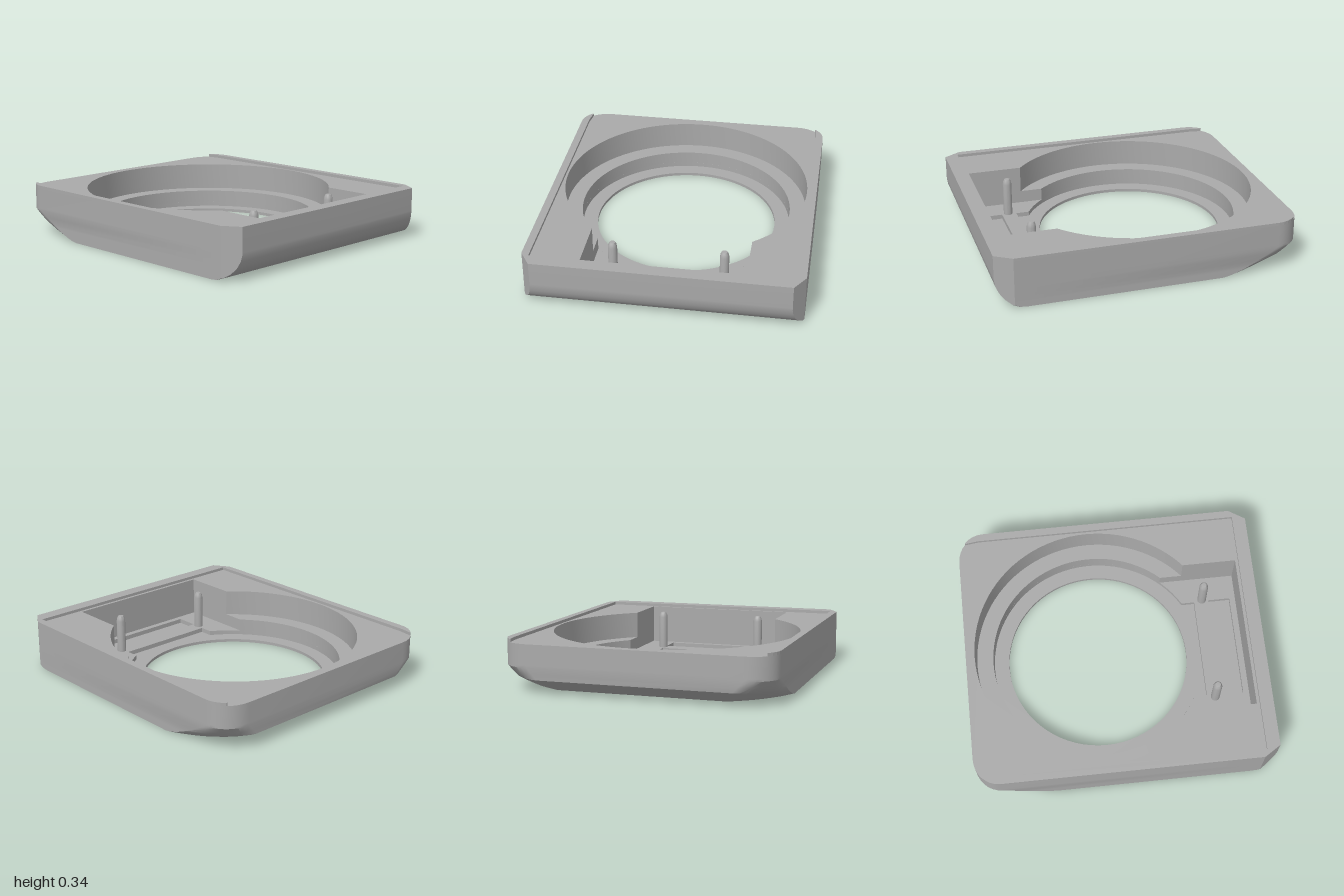
import * as THREE from 'three';
import { toCreasedNormals } from 'three/addons/utils/BufferGeometryUtils.js';

const { PI, acos, cos, sin, sqrt, min } = Math;
const lerp = THREE.MathUtils.lerp;
const HALF_W = 0.89, DECK = 0.315, TOP = 0.335;
const LEDGE = 0.135, POCKET = 0.05, LIP = 0.02;
const CZ = -0.115, R_HOLE = 0.615, R_IN = 0.715, R_OUT = 0.825;
const N = 8;

// Points [x, z] along a circle around the opening
function arc(r, t0, t1, n = 72) {
  return Array.from({ length: n + 1 }, (_, i) => {
    const t = lerp(t0, t1, i / n);
    return [r * cos(t), CZ + r * sin(t)];
  });
}

const mirror = pts => pts.map(([x, z]) => [-x, z]).reverse();

// Right half of the outside outline at height y, from front to back
function halfOutline(y) {
  const zf = y < 0.18 ? 0.82 + sqrt(0.18 ** 2 - (0.18 - y) ** 2) : 1;
  const steps = [[0, -0.82], [0.005, -0.85], [0.02, -0.89], [0.09, -1], [1, -1]];
  const k = steps.findIndex(s => s[0] > y);
  const [y0, z0] = steps[k - 1], [y1, z1] = steps[k];
  const zb = lerp(z0, z1, (y - y0) / (y1 - y0));
  const s = min(y / 0.165, 1);
  const zc = lerp(-0.46, -0.83, s ** 0.7), xc = lerp(0.55, 0.70, s);
  const bulge = lerp(0.4, 1, s);
  const pts = [
    [min(HALF_W, HALF_W - (zf - 0.89) * 0.64), zf],
    [HALF_W, min(zf, 0.89)],
  ];
  for (let i = 0; i <= N; i++) {
    const f = i / N, u = f * PI / 2;
    pts.push([
      lerp(lerp(HALF_W, xc, f), xc + (HALF_W - xc) * cos(u), bulge),
      lerp(lerp(zc, zb, f), zc + (zb - zc) * sin(u), bulge),
    ]);
  }
  return pts;
}
const outline = y => [...halfOutline(y), ...mirror(halfOutline(y))];

// Flat face at height y, facing up (or down), with optional holes
function flat(pts, y, holes = [], up = true) {
  const d = up ? -1 : 1;
  const vec = list => list.map(([x, z]) => new THREE.Vector2(x, d * z));
  const shape = new THREE.Shape(vec(pts));
  shape.holes = holes.map(h => new THREE.Path(vec(h)));
  return new THREE.ShapeGeometry(shape).rotateX(d * PI / 2).translate(0, y, 0);
}

// Skin between stacked rings of [x, y, z] points
function skin(rings, closed, inward) {
  const n = rings[0].length, index = [];
  for (let k = 0; k < rings.length - 1; k++) {
    for (let i = 0; i < (closed ? n : n - 1); i++) {
      const a = k * n + i, b = k * n + (i + 1) % n, c = b + n, d = a + n;
      if (inward) index.push(a, c, b, a, d, c);
      else index.push(a, b, c, a, c, d);
    }
  }
  const g = new THREE.BufferGeometry();
  g.setAttribute('position', new THREE.Float32BufferAttribute(rings.flat(2), 3));
  g.setIndex(index);
  return toCreasedNormals(g, 0.5);
}
const ring = (pts, y) => pts.map(([x, z]) => [x, y, z]);
const wall = (pts, y0, y1, closed = false) =>
  skin([ring(pts, y0), ring(pts, y1)], closed, true);

export function createModel() {
  const group = new THREE.Group();
  const grey = new THREE.MeshStandardMaterial({ color: 0xaaaaaa, side: THREE.DoubleSide });
  grey.name = 'plain grey';
  const add = (name, geometry) => {
    const mesh = new THREE.Mesh(geometry, grey);
    mesh.name = name;
    group.add(mesh);
    return mesh;
  };

  // Contours of the stepped opening and the front pocket
  const tO = acos(0.52 / R_OUT), tI = acos(0.52 / R_IN), tN = acos(0.345 / R_IN);
  const outer = arc(R_OUT, tO, -PI - tO);
  const inner = arc(R_IN, tI, -PI - tI);
  const lipArc = arc(R_IN, tN, -PI - tN);
  const hole = arc(R_HOLE, 0, -2 * PI).slice(0, -1);
  const pocketFront = [[-0.52, 0.89], [0.52, 0.89]];
  const notch = [[-0.345, 0.6], [0.345, 0.6]];
  const slot = [[0.35, 0.85], [0.35, 0.7], [-0.35, 0.7], [-0.35, 0.85]];

  // Outer shell
  const levels = [0, 0.005, 0.02, 0.045, 0.07, 0.09, 0.125, 0.165, 0.18, DECK];
  add('outerShell', skin(levels.map(y => ring(outline(y), y)), true, false));
  add('underside', flat(outline(0), 0, [hole], false));
  add('deck', flat(outline(DECK), DECK, [[...outer, ...pocketFront]]));

  // Raised rim around the front and sides
  const rimHalf = halfOutline(DECK).slice(0, 3 + N / 2).reverse();
  const rimInner = [[-0.828, -0.95], [-0.84, -0.86], [-0.84, 0.91]];
  const rimPts = [...rimHalf, ...mirror(rimHalf), ...rimInner, ...mirror(rimInner)];
  const rimShape = new THREE.Shape(rimPts.map(p => new THREE.Vector2(...p)));
  add('rim', new THREE.ExtrudeGeometry(rimShape, { depth: TOP - DECK, bevelEnabled: false })
    .rotateX(PI / 2).translate(0, TOP, 0));

  // Stepped round opening
  add('upperRingWall', wall(outer, LEDGE, DECK));
  add('upperLedge', flat([...outer, ...[...inner].reverse()], LEDGE));
  add('lowerRingWall', wall(inner, POCKET, LEDGE));
  add('lowerLipWall', wall([...lipArc, ...notch], LIP, POCKET, true));
  add('lowerLip', flat([...lipArc, ...notch], LIP, [hole]));
  add('openingEdge', wall(hole, 0, LIP, true));

  // Front pocket with a shallow slot
  add('pocketWall', wall([outer.at(-1), ...pocketFront, outer[0]], POCKET, DECK));
  add('pocketLeftStep', wall([outer[0], inner[0]], POCKET, LEDGE));
  add('pocketRightStep', wall([inner.at(-1), outer.at(-1)], POCKET, LEDGE));
  const pocketPts = [
    ...arc(R_IN, tI, tN, 6), ...mirror(notch).reverse(),
    ...arc(R_IN, PI - tN, PI - tI, 6), ...pocketFront,
  ];
  add('pocketFloor', flat(pocketPts, POCKET, [slot]));
  add('slotWall', wall(slot, LIP, POCKET, true));
  add('slotFloor', flat(slot, LIP));

  // Locating posts with tapered tips
  const profile = [[0.03, POCKET], [0.03, 0.275], [0.026, 0.295], [0.018, 0.31], [0, 0.312]];
  const postGeometry = toCreasedNormals(
    new THREE.LatheGeometry(profile.map(p => new THREE.Vector2(...p)), 24), 0.5);
  for (const side of [1, -1]) {
    add(side > 0 ? 'leftPost' : 'rightPost', postGeometry).position.set(side * 0.36, 0, 0.655);
  }
  return group;
}
